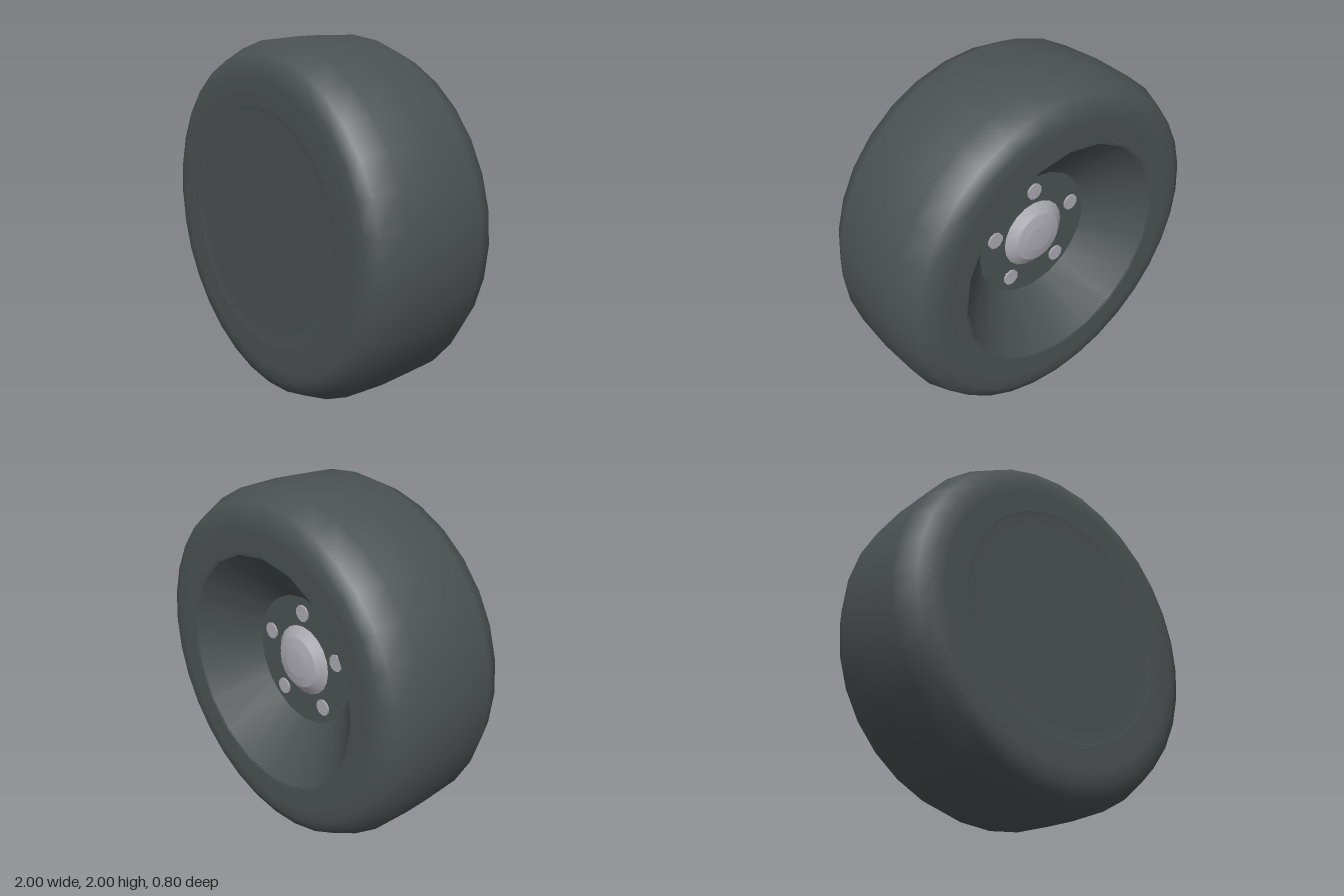
import * as THREE from 'three';

const rubber = new THREE.MeshStandardMaterial({ color: 0x4b5152 });
rubber.name = 'darkRubber';
const metal = new THREE.MeshStandardMaterial({ color: 0xabaab2 });
metal.name = 'silverMetal';

// Lathe around the axle (z); profile points are [radius, z]
function turned(name, profile, sides, material) {
  const points = profile.map(([r, z]) => new THREE.Vector2(r, z));
  const geometry = new THREE.LatheGeometry(points, sides).rotateX(Math.PI / 2);
  const mesh = new THREE.Mesh(geometry, material);
  mesh.name = name;
  return mesh;
}

// Short cylinder along the axle, between z0 and z1
function disc(name, radius, z0, z1, sides, material) {
  const geometry = new THREE.CylinderGeometry(radius, radius, z1 - z0, sides).rotateX(Math.PI / 2);
  const mesh = new THREE.Mesh(geometry, material);
  mesh.name = name;
  mesh.position.z = (z0 + z1) / 2;
  return mesh;
}

export function createModel() {
  const wheel = new THREE.Group();
  wheel.name = 'wheel';
  wheel.position.y = 1;

  // Tyre: open at the back, rounded tread, closed front face
  wheel.add(turned('tyre', [
    [0.67, -0.4], [0.79, -0.402], [0.86, -0.4], [0.93, -0.365], [0.99, -0.24], [1, 0],
    [0.99, 0.24], [0.93, 0.365], [0.86, 0.4], [0.79, 0.402], [0.66, 0.402],
  ], 32, rubber));

  // Front cover with a faint ring step
  wheel.add(turned('frontCover', [
    [0.66, 0.402], [0.65, 0.4], [0.6, 0.398], [0.58, 0.398], [0, 0.398],
  ], 32, rubber));

  // Conical recess seen from the back
  wheel.add(turned('rimRecess', [[0.36, -0.12], [0.67, -0.4]], 20, rubber));
  wheel.add(turned('rimLip', [[0.66, -0.398], [0.7, -0.399]], 20, rubber));

  // Hub plate, stepped cap and five bolts
  wheel.add(disc('hubPlate', 0.38, -0.135, -0.1, 16, rubber));
  wheel.add(turned('hubCap', [
    [0, -0.195], [0.08, -0.195], [0.085, -0.189], [0.145, -0.182], [0.15, -0.174], [0.207, -0.133],
  ], 20, metal));
  for (let i = 0; i < 5; i++) {
    const angle = Math.PI / 2 + (i * Math.PI * 2) / 5;
    const bolt = disc('bolt', 0.048, -0.146, -0.12, 10, metal);
    bolt.position.x = 0.285 * Math.cos(angle);
    bolt.position.y = 0.285 * Math.sin(angle);
    wheel.add(bolt);
  }

  const model = new THREE.Group();
  model.name = 'wheelModel';
  model.add(wheel);
  return model;
}
